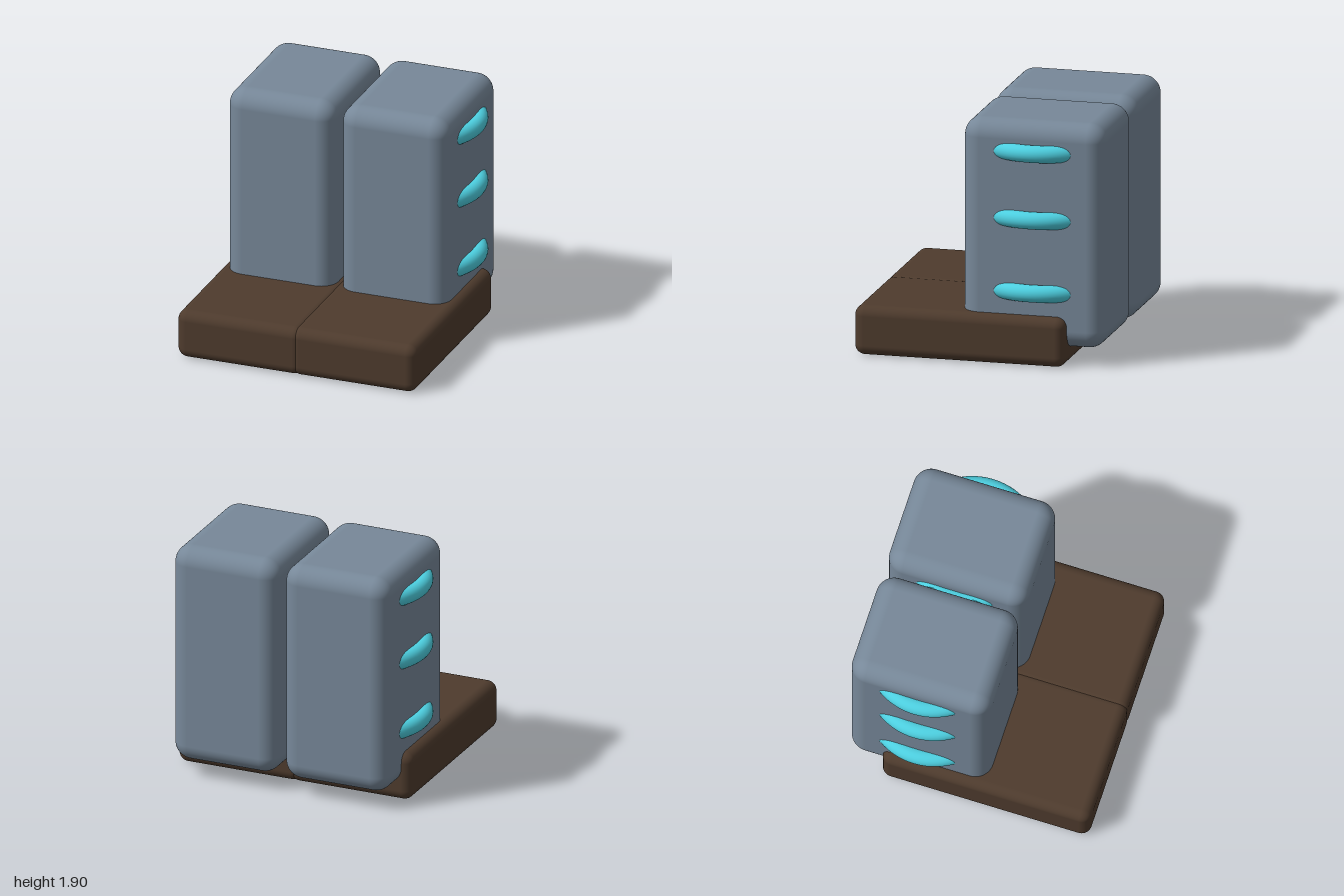
import * as THREE from 'three';
import { RoundedBoxGeometry } from 'three/addons/geometries/RoundedBoxGeometry.js';

const legMat = new THREE.MeshStandardMaterial({ color: 0x778899 });
const ringMat = new THREE.MeshStandardMaterial({ color: 0x4dd0e1 });
const footMat = new THREE.MeshStandardMaterial({ color: 0x4e3b2d });

function add(parent, name, geometry, material, x, y, z) {
  const mesh = new THREE.Mesh(geometry, material);
  mesh.name = name;
  mesh.position.set(x, y, z);
  parent.add(mesh);
  return mesh;
}

// One boot: sole block, upright shaft and three rings sunk into the shaft
function createBoot(name) {
  const boot = new THREE.Group();
  boot.name = name;
  add(boot, 'foot', new RoundedBoxGeometry(1.03, 0.39, 1.67, 6, 0.08), footMat, 0, 0.197, 0.145);
  add(boot, 'shaft', new RoundedBoxGeometry(0.88, 1.765, 1.125, 8, 0.14), legMat, 0, 1.0225, -0.4175);
  const ringGeo = new THREE.TorusGeometry(0.468, 0.067, 24, 72).rotateX(Math.PI / 2);
  for (const y of [0.57, 1.145, 1.67]) add(boot, 'ring', ringGeo, ringMat, 0, y, -0.4175);
  return boot;
}

export function createModel() {
  const model = new THREE.Group();
  model.name = 'boots';
  for (const side of [-1, 1]) {
    const boot = createBoot(side > 0 ? 'leftBoot' : 'rightBoot');
    boot.position.x = side * 0.465;
    model.add(boot);
  }
  return model;
}
